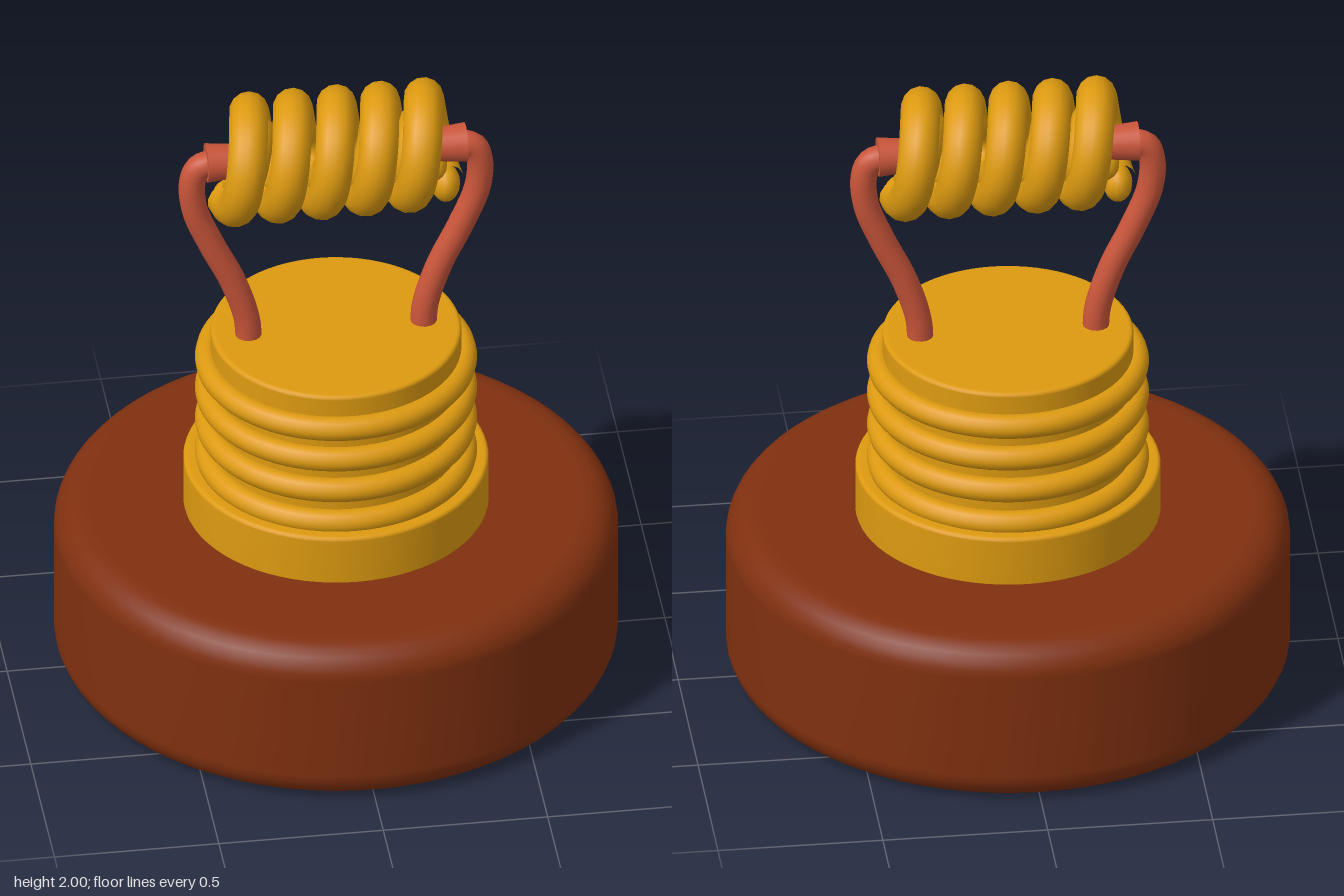
import * as THREE from 'three';

const wood = new THREE.MeshStandardMaterial({ name: 'brown base', color: 0x80300f });
const gold = new THREE.MeshStandardMaterial({ name: 'gold metal', color: 0xdd9a10 });
const copper = new THREE.MeshStandardMaterial({ name: 'copper wire', color: 0xc9553a });

const COIL_Y = 1.798;

function add(parent, name, geometry, material) {
  const mesh = new THREE.Mesh(geometry, material);
  mesh.name = name;
  parent.add(mesh);
  return mesh;
}

// Solid disc with rounded rims
function roundedDisc(radius, y0, y1, bevel, steps = 6) {
  const pts = [new THREE.Vector2(0, y0), new THREE.Vector2(radius - bevel - 0.01, y0)];
  for (const [cy, start] of [[y0 + bevel, -Math.PI / 2], [y1 - bevel, 0]]) {
    for (let i = 0; i <= steps; i++) {
      const a = start + (i / steps) * Math.PI / 2;
      pts.push(new THREE.Vector2(radius - bevel + bevel * Math.cos(a), cy + bevel * Math.sin(a)));
    }
  }
  pts.push(new THREE.Vector2(radius - bevel - 0.01, y1), new THREE.Vector2(0, y1));
  return new THREE.LatheGeometry(pts, 72);
}

// Helix along x, starting and ending at the bottom
class Helix extends THREE.Curve {
  constructor(radius, halfLength, turns) {
    super();
    Object.assign(this, { radius, halfLength, turns });
  }
  getPoint(t, target = new THREE.Vector3()) {
    const a = t * this.turns * Math.PI * 2;
    return target.set((2 * t - 1) * this.halfLength, -this.radius * Math.cos(a), this.radius * Math.sin(a));
  }
}

function addCoil(parent, name, curve, tube) {
  const coil = new THREE.Group();
  coil.name = name;
  coil.position.y = COIL_Y;
  add(coil, name + 'Winding', new THREE.TubeGeometry(curve, 240, tube, 14), gold);
  for (const t of [0, 1]) {
    add(coil, name + 'End', new THREE.SphereGeometry(tube, 14, 10), gold)
      .position.copy(curve.getPoint(t)); // rounded tip
    coil.children.at(-1).scale.x = 0.75;
  }
  parent.add(coil);
}

export function createModel() {
  const model = new THREE.Group();
  model.name = 'coilLamp';

  // Base and socket
  add(model, 'base', roundedDisc(0.85, 0, 0.54, 0.1), wood);
  add(model, 'socketCollar', roundedDisc(0.46, 0.53, 0.7, 0.012, 3), gold);
  add(model, 'socketCore', roundedDisc(0.378, 0.69, 1.16, 0.012, 3), gold);
  for (const y of [0.715, 0.83, 0.942, 1.053]) {
    const ring = add(model, 'socketRing', new THREE.TorusGeometry(0.387, 0.038, 14, 72), gold);
    ring.rotation.x = Math.PI / 2;
    ring.position.y = y;
  }

  // Outer winding with a tighter winding inside it
  addCoil(model, 'coil', new Helix(0.143, 0.332, 5), 0.06);
  addCoil(model, 'innerCoil', new Helix(0.075, 0.3, 5), 0.05);

  // Support wires and the ferrules that grip the coil
  for (const [side, s] of [['left', 1], ['right', -1]]) {
    const path = new THREE.CatmullRomCurve3([
      [0.265, 1.12], [0.272, 1.22], [0.315, 1.36], [0.38, 1.5], [0.43, 1.63],
      [0.437, 1.73], [0.418, 1.78], [0.37, 1.795], [0.3, 1.795],
    ].map(([x, y]) => new THREE.Vector3(s * x, y, 0)));
    add(model, side + 'Wire', new THREE.TubeGeometry(path, 60, 0.04, 14), copper);
    const ferrule = add(model, side + 'Ferrule', new THREE.CylinderGeometry(0.06, 0.05, 0.1, 20), copper);
    ferrule.rotation.z = -s * Math.PI / 2;
    ferrule.position.set(s * 0.345, 1.795, 0);
  }
  return model;
}
